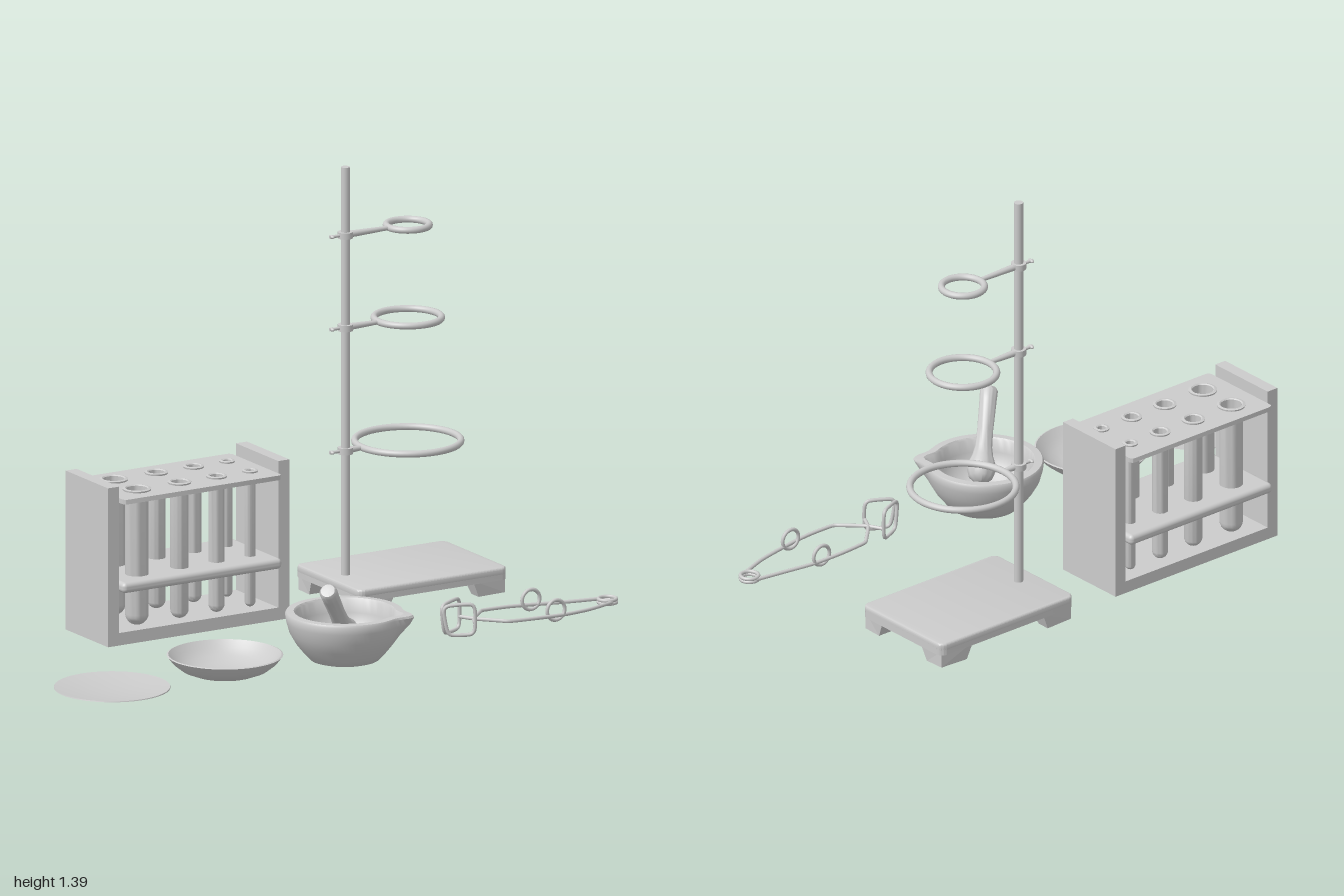
import * as THREE from 'three';
import { toCreasedNormals } from 'three/addons/utils/BufferGeometryUtils.js';
import { RoundedBoxGeometry } from 'three/addons/geometries/RoundedBoxGeometry.js';

const grey = new THREE.MeshStandardMaterial({ color: 0xcccccc, side: THREE.DoubleSide });
const V = (x, y, z) => new THREE.Vector3(x, y, z);

function add(parent, name, geometry, x = 0, y = 0, z = 0) {
  const mesh = new THREE.Mesh(geometry, grey);
  mesh.name = name;
  mesh.position.set(x, y, z);
  parent.add(mesh);
  return mesh;
}

function group(parent, name, x = 0, y = 0, z = 0) {
  const g = new THREE.Group();
  g.name = name;
  g.position.set(x, y, z);
  parent.add(g);
  return g;
}

// Cylinder running from a to b
function rod(parent, name, a, b, rA, rB = rA) {
  const mesh = add(parent, name, new THREE.CylinderGeometry(rB, rA, a.distanceTo(b), 20));
  mesh.position.copy(a).lerp(b, 0.5);
  mesh.quaternion.setFromUnitVectors(V(0, 1, 0), b.clone().sub(a).normalize());
  return mesh;
}

const lathe = (pts, seg = 48) =>
  toCreasedNormals(new THREE.LatheGeometry(pts.map(p => new THREE.Vector2(...p)), seg), 0.7);

function roundRect(w, d, r, path = new THREE.Shape()) {
  const x = w / 2, y = d / 2;
  path.moveTo(-x + r, -y);
  path.absarc(x - r, -y + r, r, -Math.PI / 2, 0);
  path.absarc(x - r, y - r, r, 0, Math.PI / 2);
  path.absarc(-x + r, y - r, r, Math.PI / 2, Math.PI);
  path.absarc(-x + r, -y + r, r, Math.PI, Math.PI * 1.5);
  path.closePath();
  return path;
}

// Horizontal slab extruded upward from y = 0
function slab(shape, h, bevel = 0) {
  const g = new THREE.ExtrudeGeometry(shape, {
    depth: h - bevel * 2, bevelEnabled: bevel > 0, bevelSize: bevel, bevelOffset: -bevel,
    bevelThickness: bevel, bevelSegments: 3, curveSegments: 10,
  });
  g.translate(0, 0, bevel).rotateX(-Math.PI / 2);
  return toCreasedNormals(g, 0.7);
}

function tubeRack(parent) {
  const rack = group(parent, 'testTubeRack', -0.21, 0, -0.335);
  for (const s of [-1, 1]) add(rack, 'endPanel', new THREE.BoxGeometry(0.04, 0.51, 0.25), s * 0.31, 0.255, 0);
  add(rack, 'rackBase', new THREE.BoxGeometry(0.58, 0.04, 0.25), 0, 0.02, 0);
  add(rack, 'middleShelf', new RoundedBoxGeometry(0.58, 0.034, 0.305, 4, 0.014), 0, 0.187, 0);

  const columns = [[-0.19, 0.037], [-0.035, 0.029], [0.1, 0.025], [0.222, 0.017]];
  const plate = roundRect(0.575, 0.305, 0.015);
  for (const [x, r] of columns) for (const z of [-0.068, 0.068]) {
    plate.holes.push(new THREE.Path().absarc(x, -z, r + 0.001, 0, Math.PI * 2, true));
    // Open tube with rounded bottom and rolled lip
    const pts = [[0, 0]];
    for (let i = 1; i <= 6; i++) {
      const a = i / 6 * Math.PI / 2;
      pts.push([r * Math.sin(a), r * (1 - Math.cos(a))]);
    }
    pts.push([r, 0.43], [r + 0.007, 0.432], [r + 0.008, 0.437], [r, 0.439], [r - 0.004, 0.436],
      [r - 0.004, r], [r * 0.5, 0.012], [0, 0.005]);
    add(rack, 'testTube', lathe(pts, 28), x, 0.041, z);
  }
  add(rack, 'topPlate', slab(plate, 0.015), 0, 0.457, 0);
}

function ringStand(parent) {
  const stand = group(parent, 'ringStand', 0.588, 0, -0.305);
  const W = 0.545, D = 0.38;

  // Slab hollowed from below
  add(stand, 'baseTop', slab(roundRect(W, D, 0.025), 0.027, 0.006), 0, 0.055, 0);
  const rim = roundRect(W, D, 0.025);
  rim.holes.push(roundRect(W - 0.07, D - 0.07, 0.02, new THREE.Path()));
  add(stand, 'baseRim', slab(rim, 0.025), 0, 0.043, 0);
  add(stand, 'rodBoss', new THREE.BoxGeometry(0.09, 0.02, 0.08), -0.205, 0.052, 0);

  // Corner feet, tapering inward toward the floor
  const plan = new THREE.Shape([[0, 0], [-0.13, 0], [-0.13, 0.06], [-0.07, 0.1], [0, 0.1]]
    .map(p => new THREE.Vector2(...p)));
  const foot = slab(plan, 0.055);
  const p = foot.attributes.position;
  for (let i = 0; i < p.count; i++) {
    if (p.getY(i) < 0.01) p.setXYZ(i, p.getX(i) * 0.78 - 0.006, 0, p.getZ(i) * 0.72 - 0.004);
  }
  // Trim the sharp outer corner to follow the rounded slab
  for (let i = 0; i < p.count; i++) {
    if (p.getX(i) > -0.01 && p.getZ(i) > -0.01) { p.setX(i, -0.009); p.setZ(i, -0.009); }
  }
  foot.computeVertexNormals();
  for (const sx of [-1, 1]) for (const sz of [-1, 1]) {
    add(stand, 'foot', foot, sx * W / 2, 0, sz * D / 2).scale.set(sx, 1, sz);
  }

  const rx = -0.205;
  rod(stand, 'uprightRod', V(rx, 0.06, 0), V(rx, 1.39, 0), 0.0145);

  // Three rings, each on a clamp with a thumb screw
  for (const [y, r] of [[0.48, 0.165], [0.875, 0.105], [1.172, 0.067]]) {
    const ring = group(stand, 'supportRing', 0.022, y, 0);
    const x0 = rx - 0.022;
    add(ring, 'ring', new THREE.TorusGeometry(r, 0.011, 12, 56).rotateX(Math.PI / 2));
    rod(ring, 'arm', V(x0 + 0.012, 0, 0), V(-r, 0, 0), 0.011, 0.007);
    add(ring, 'clampCollar', new THREE.CylinderGeometry(0.024, 0.024, 0.02, 20), x0, 0, 0);
    rod(ring, 'thumbScrew', V(x0 - 0.057, 0, 0), V(x0, 0, 0), 0.005);
    const knob = add(ring, 'screwHead', new THREE.SphereGeometry(0.01, 14, 10), x0 - 0.05, 0, 0);
    knob.scale.set(0.7, 0.6, 1.3);
  }
}

function dishes(parent) {
  add(parent, 'watchGlass', lathe([[0, 0.006], [0.07, 0.008], [0.13, 0.013], [0.181, 0.021],
    [0.18, 0.024], [0.13, 0.017], [0.07, 0.012], [0, 0.01]], 56), -0.82, 0, 0.268);
  add(parent, 'evaporatingDish', lathe([[0, 0.004], [0.06, 0.005], [0.1, 0.011], [0.135, 0.025],
    [0.162, 0.046], [0.181, 0.07], [0.176, 0.072], [0.157, 0.051], [0.131, 0.031], [0.097, 0.017],
    [0.06, 0.011], [0, 0.01]], 56), -0.413, 0, 0.274);
}

function mortarAndPestle(parent) {
  const set = group(parent, 'mortarAndPestle', 0.01, 0, 0.295);
  const bowl = new THREE.LatheGeometry([[0, 0], [0.095, 0], [0.108, 0.004], [0.128, 0.025], [0.152, 0.055],
    [0.172, 0.09], [0.182, 0.125], [0.185, 0.148], [0.181, 0.155], [0.158, 0.156], [0.152, 0.15],
    [0.147, 0.11], [0.132, 0.07], [0.105, 0.04], [0.06, 0.023], [0, 0.02]]
    .map(q => new THREE.Vector2(...q)), 72);
  // Pull the rim outward at one side to form the spout
  const p = bowl.attributes.position;
  for (let i = 0; i < p.count; i++) {
    const x = p.getX(i), y = p.getY(i), z = p.getZ(i);
    const r = Math.hypot(x, z);
    if (r < 0.1) continue;
    const a = Math.atan2(z, x) - Math.PI / 4;
    const k = 1 + 0.2 * Math.exp(-((a / 0.17) ** 2)) * THREE.MathUtils.smoothstep(y, 0.07, 0.155);
    p.setX(i, x * k);
    p.setZ(i, z * k);
  }
  add(set, 'mortar', toCreasedNormals(bowl, 0.7));

  const pestle = add(set, 'pestle', lathe([[0, -0.045], [0.02, -0.041], [0.037, -0.026], [0.045, 0],
    [0.042, 0.022], [0.033, 0.045], [0.027, 0.075], [0.025, 0.13], [0.027, 0.23], [0.028, 0.262],
    [0.022, 0.272], [0, 0.275]], 32), -0.022, 0.098, 0.04);
  pestle.quaternion.setFromUnitVectors(V(0, 1, 0), V(-0.115, 0.145, 0.105).normalize());
}

function wireClamp(parent) {
  const clamp = group(parent, 'testTubeClamp', 0, 0, 0.309);
  const R = 0.006;
  const wire = (name, pts, closed = false) => add(clamp, name, new THREE.TubeGeometry(
    new THREE.CatmullRomCurve3(pts, closed, 'catmullrom', 0.35), 72, R, 8, closed));

  // Spring coil at the tail
  for (const y of [0.05, 0.06]) {
    add(clamp, 'springCoil', new THREE.TorusGeometry(0.028, R, 8, 28).rotateX(Math.PI / 2), 0.964, y, -0.01);
  }
  for (const s of [-1, 1]) {
    // Arms cross just behind the jaws
    wire('arm', [V(0.964, 0.055, s * 0.028 - 0.01), V(0.86, 0.056, s * 0.055), V(0.755, 0.058, s * 0.074),
      V(0.65, 0.063, s * 0.082), V(0.555, 0.066, s * 0.078), V(0.53, 0.067, s * 0.06),
      V(0.475, 0.068, s * 0.004), V(0.447, 0.068, s * -0.046)]);
    add(clamp, 'fingerLoop', new THREE.TorusGeometry(0.032, R, 8, 28), 0.725, 0.077, s * 0.074);
    // Upright rounded jaw loop, angled toward the tip
    const jaw = [];
    for (const [u, y] of [[0, 0.05], [0, 0.11], [0.15, 0.128], [0.85, 0.125], [1, 0.108],
      [0.9, 0.05], [0.75, 0.032], [0.15, 0.032]]) {
      jaw.push(V(0.447 - 0.088 * u, y, s * (0.046 - 0.04 * u)));
    }
    wire('jaw', jaw, true);
  }
}

export function createModel() {
  const model = new THREE.Group();
  model.name = 'laboratoryEquipment';
  tubeRack(model);
  ringStand(model);
  dishes(model);
  mortarAndPestle(model);
  wireClamp(model);
  return model;
}
